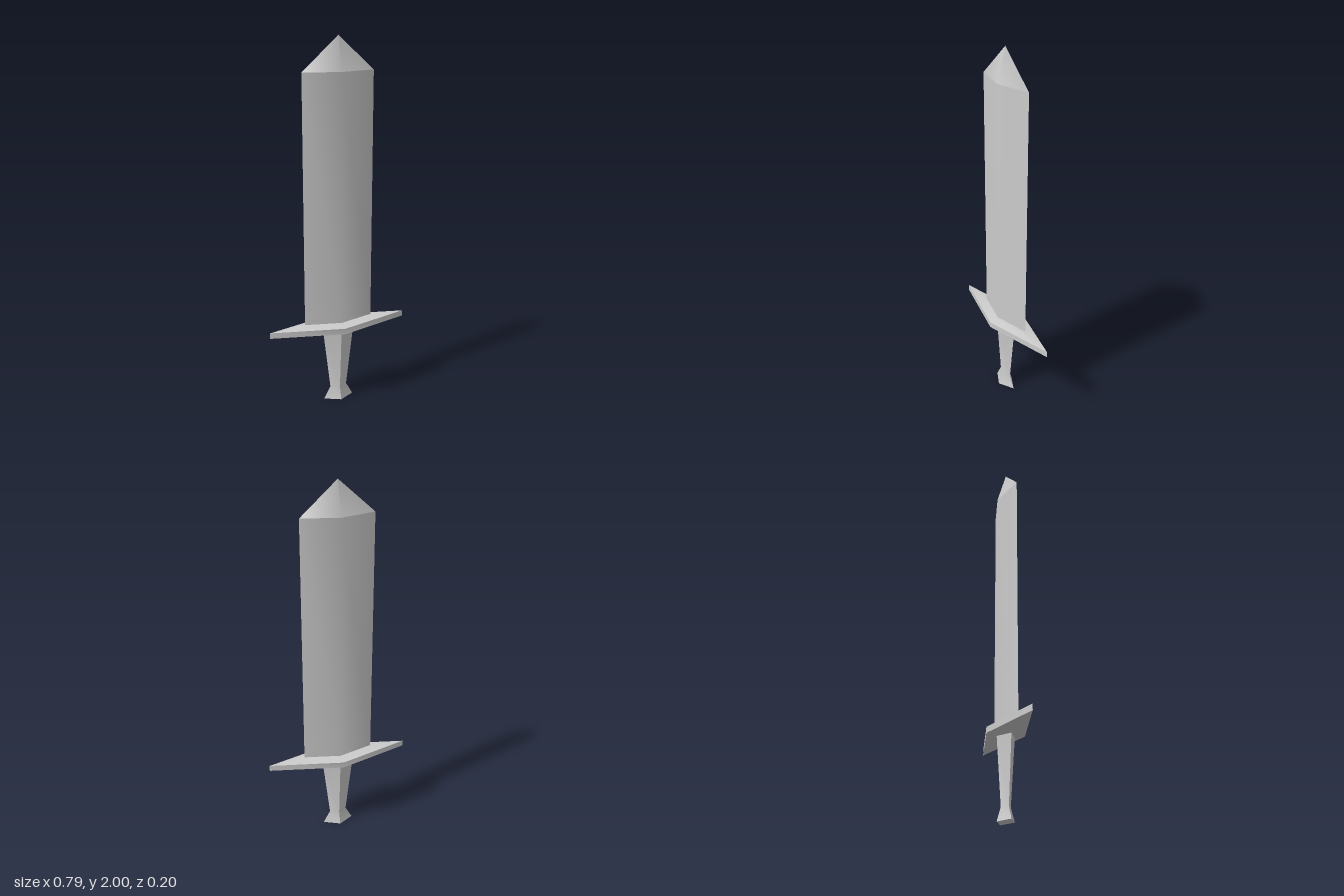
import * as THREE from 'three';
import { toCreasedNormals } from 'three/addons/utils/BufferGeometryUtils.js';

const material = new THREE.MeshStandardMaterial({ color: 0xcccccc });

// Diamond cross-section swept along a [half width, height] profile, flattened in depth
function diamondPart(name, profile, depthRatio) {
  const points = profile.map(([r, y]) => new THREE.Vector2(r, y));
  const geometry = new THREE.LatheGeometry(points, 4);
  geometry.scale(1, 1, depthRatio);
  const mesh = new THREE.Mesh(toCreasedNormals(geometry, 0.55), material);
  mesh.name = name;
  return mesh;
}

export function createModel() {
  const group = new THREE.Group();
  group.name = 'sword';

  // Grip flaring into a pommel at the bottom
  group.add(diamondPart('grip', [[0, 0], [0.086, 0], [0.048, 0.07], [0.09, 0.42]], 0.53));

  // Wide crossguard with bevelled top and bottom
  group.add(diamondPart('crossguard',
    [[0, 0.415], [0.09, 0.415], [0.395, 0.43], [0.395, 0.462], [0.195, 0.475], [0, 0.475]], 0.256));

  // Straight blade
  group.add(diamondPart('blade', [[0.195, 0.47], [0.195, 1.825]], 0.256));

  // Smooth-shaded point
  const tipGeometry = new THREE.ConeGeometry(0.195, 0.175, 4, 1, true);
  tipGeometry.scale(1, 1, 0.256);
  const tip = new THREE.Mesh(tipGeometry, material);
  tip.name = 'bladeTip';
  tip.position.y = 1.825 + 0.175 / 2;
  group.add(tip);

  return group;
}
